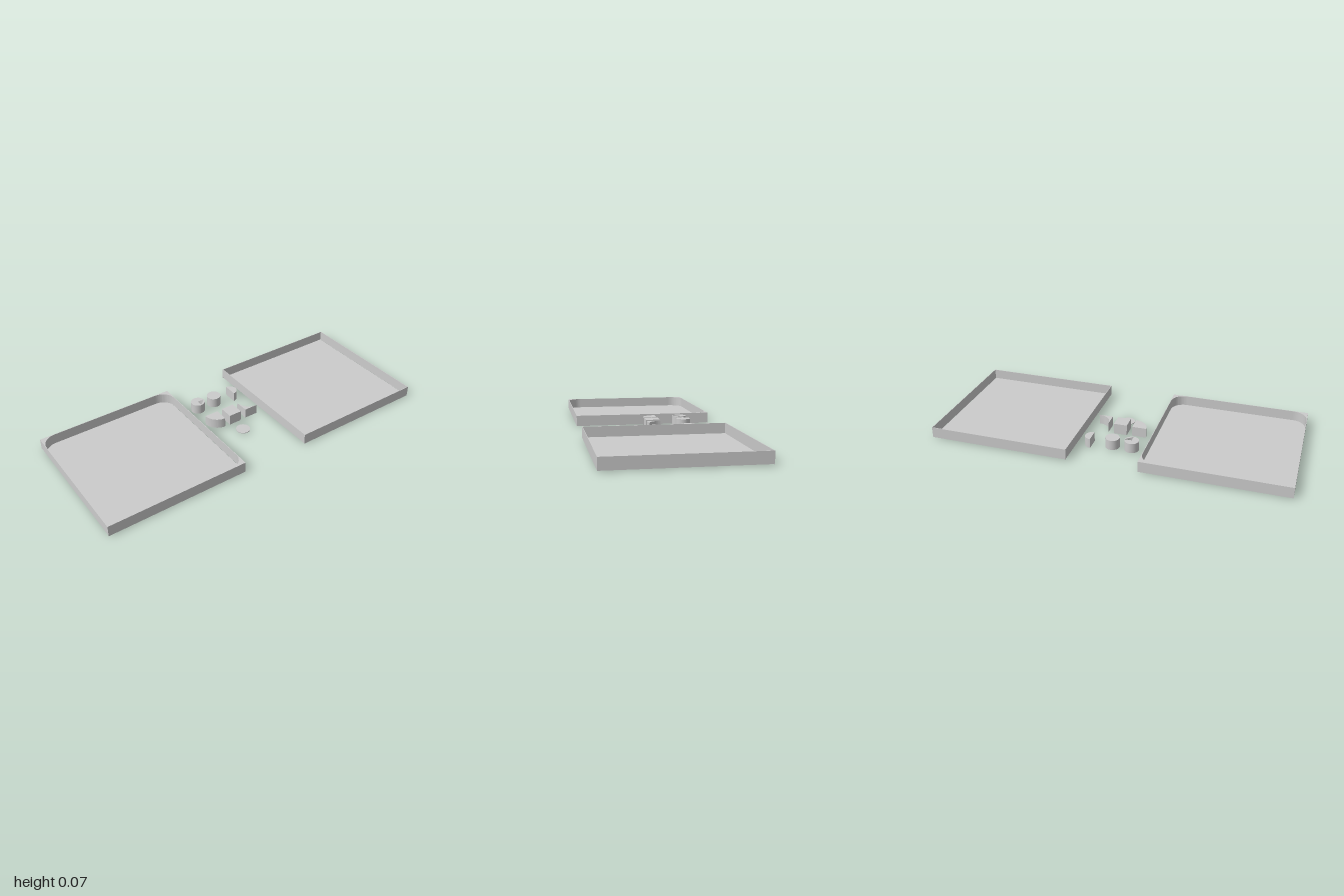
import * as THREE from 'three';
import { toCreasedNormals } from 'three/addons/utils/BufferGeometryUtils.js';

const material = new THREE.MeshStandardMaterial({ color: 0xcccccc });
const openMaterial = new THREE.MeshStandardMaterial({ color: 0xcccccc, side: THREE.DoubleSide });

function add(parent, name, geometry, x = 0, y = 0, z = 0, mat = material) {
  const mesh = new THREE.Mesh(geometry, mat);
  mesh.name = name;
  mesh.position.set(x, y, z);
  parent.add(mesh);
  return mesh;
}

// Extrudes a plan outline (x, z) upwards from y0 to y1
function prism(shape, y0, y1) {
  const g = new THREE.ExtrudeGeometry(shape, { depth: y1 - y0, bevelEnabled: false, curveSegments: 12 });
  g.rotateX(Math.PI / 2).translate(0, y1, 0);
  return toCreasedNormals(g, 0.6);
}

// Pie slice of a circle around the origin
function sector(radius, from, to) {
  const s = new THREE.Shape();
  s.moveTo(0, 0);
  s.lineTo(radius * Math.cos(from), radius * Math.sin(from));
  s.absarc(0, 0, radius, from, to, false);
  s.closePath();
  return s;
}

// Corner at the origin, concave arc facing -x / -z
function filletShape(r) {
  const s = new THREE.Shape();
  s.moveTo(0, 0);
  s.lineTo(0, -r);
  s.absarc(-r, -r, r, 0, Math.PI / 2, false);
  s.closePath();
  return s;
}

const HALF_X = 0.397, HALF_Z = 0.4, BOTTOM = 0.004, LEDGE = 0.008, TOP = 0.066, WALL = 0.003;

function makeTray(name, z, rounded) {
  const tray = new THREE.Group();
  tray.name = name;
  tray.position.z = z;
  add(tray, 'floor', new THREE.BoxGeometry(2 * HALF_X, LEDGE - BOTTOM, 2 * HALF_Z - 0.008), 0, (BOTTOM + LEDGE) / 2);
  for (const s of [-1, 1]) {
    add(tray, 'sideWall', new THREE.BoxGeometry(WALL, TOP - BOTTOM, 2 * HALF_Z),
      s * (HALF_X - WALL / 2), (TOP + BOTTOM) / 2);
    add(tray, 'endWall', new THREE.BoxGeometry(2 * (HALF_X - WALL), TOP - LEDGE, WALL),
      0, (TOP + LEDGE) / 2, s * (HALF_Z - WALL / 2));
  }
  if (rounded) {
    // Each fillet is turned so its solid corner points outwards
    for (let i = 0; i < 4; i++) {
      const sx = i === 0 || i === 1 ? 1 : -1;
      const sz = i === 0 || i === 3 ? 1 : -1;
      const fillet = add(tray, 'cornerFillet', prism(filletShape(0.08), LEDGE, TOP),
        sx * (HALF_X - WALL), 0, sz * (HALF_Z - WALL));
      fillet.rotation.y = i * Math.PI / 2;
    }
  }
  return tray;
}

export function createModel() {
  const model = new THREE.Group();
  model.name = 'traysAndPieces';
  model.add(makeTray('squareTray', -0.6, false));
  model.add(makeTray('roundedTray', 0.6, true));

  const pieces = new THREE.Group();
  pieces.name = 'loosePieces';
  model.add(pieces);
  const R = 0.04, LOW = 0.009, H = TOP - LOW, MID = (TOP + LOW) / 2;

  // Solid pieces between the trays
  add(pieces, 'block', new THREE.BoxGeometry(0.08, 0.062, 0.076), -0.018, 0.037, 0);
  add(pieces, 'cylinder', new THREE.CylinderGeometry(R, R, H, 32), -0.2, MID, 0);
  add(pieces, 'disc', new THREE.CylinderGeometry(R, R, 0.004, 32), 0.098, 0.007, 0);
  add(pieces, 'halfCylinder', prism(sector(R, Math.PI, 2 * Math.PI), 0, 0.056), -0.2, 0, -0.118);
  add(pieces, 'quarterCylinder', prism(sector(0.08, 0, Math.PI / 2), LOW, TOP), -0.058, 0, 0.07);
  add(pieces, 'concaveCorner', prism(filletShape(0.08), LOW, TOP), 0.022, 0, -0.07);

  // Hollow cylinder whose lid has a triangular opening
  const can = new THREE.Group();
  can.name = 'openCylinder';
  can.position.set(-0.2, 0, 0.11);
  pieces.add(can);
  add(can, 'wall', new THREE.CylinderGeometry(R, R, H, 32, 1, true), 0, MID, 0, openMaterial);
  add(can, 'base', new THREE.CircleGeometry(R, 32).rotateX(Math.PI / 2), 0, LOW, 0, openMaterial);
  const lid = new THREE.Group();
  lid.name = 'lid';
  can.add(lid);
  const rim = new THREE.Shape();
  rim.absarc(0, 0, R, -Math.PI / 2, 0, false);
  rim.closePath();
  for (const part of [sector(R, 0, 1.5 * Math.PI), rim]) {
    const g = new THREE.ShapeGeometry(part, 12).rotateX(Math.PI / 2);
    add(lid, 'lidPart', g, 0, TOP, 0, openMaterial);
  }
  return model;
}
